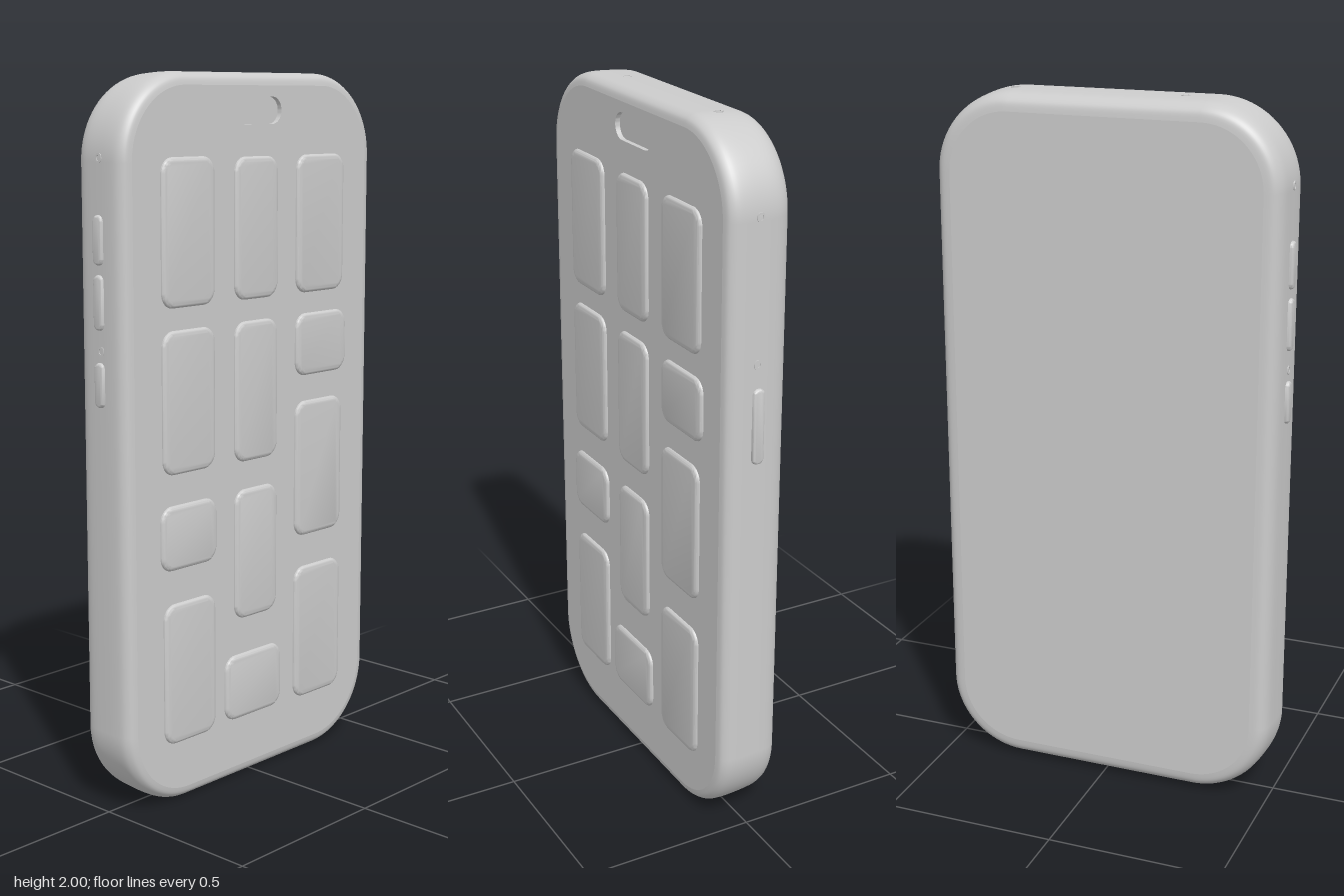
import * as THREE from 'three';
import { toCreasedNormals } from 'three/addons/utils/BufferGeometryUtils.js';

const material = new THREE.MeshStandardMaterial({ color: 0xcccccc });
const HALF_W = 0.505, HALF_H = 1, CORNER = 0.23, BACK = -0.1, FRONT = 0.088, RECESS = 0.015;

// Points of a rounded rectangle, counter-clockwise
function roundedRect(cx, cy, w, h, r, n = 8) {
  const pts = [];
  [[1, 1], [-1, 1], [-1, -1], [1, -1]].forEach(([sx, sy], q) => {
    for (let k = 0; k <= n; k++) {
      const a = (q + k / n) * Math.PI / 2;
      pts.push(new THREE.Vector2(
        cx + sx * (w / 2 - r) + r * Math.cos(a),
        cy + sy * (h / 2 - r) + r * Math.sin(a)));
    }
  });
  return pts;
}

function outline(inset) {
  return roundedRect(0, 1, 2 * (HALF_W - inset), 2 * (HALF_H - inset), CORNER - inset, 20);
}

function add(parent, name, geometry) {
  const mesh = new THREE.Mesh(geometry, material);
  mesh.name = name;
  parent.add(mesh);
  return mesh;
}

// Softly bevelled pad standing on z = 0
function pad(cx, cy, w, h, r, height, bevel) {
  const shape = new THREE.Shape(roundedRect(cx, cy, w - 2 * bevel, h - 2 * bevel, r - bevel));
  const g = new THREE.ExtrudeGeometry(shape, {
    depth: 0.01, bevelThickness: height, bevelSize: bevel, bevelSegments: 4,
  });
  g.translate(0, 0, -0.01);
  return toCreasedNormals(g, 0.6);
}

// Thin raised lip around a small opening
function lip(w, h) {
  const r = Math.min(w, h) / 2;
  const shape = new THREE.Shape(roundedRect(0, 0, w, h, r, 5));
  shape.holes.push(new THREE.Path(roundedRect(0, 0, w * 0.6, h * 0.6, r * 0.6, 5)));
  return new THREE.ExtrudeGeometry(shape, { depth: 0.006, bevelEnabled: false }).translate(0, 0, -0.004);
}

// Rounded side wall lofted through inset outlines from back to front
function shellGeometry() {
  const profile = new THREE.SplineCurve([
    [BACK, 0.055], [-0.097, 0.036], [-0.09, 0.023], [-0.075, 0.012], [-0.05, 0.005], [0, 0.001],
    [0.035, 0], [0.06, 0.002], [0.075, 0.009], [0.084, 0.019], [FRONT, 0.035],
  ].map(([z, inset]) => new THREE.Vector2(z, inset))).getPoints(30);
  const pos = [], index = [];
  const n = outline(0).length;
  profile.forEach((p, j) => {
    outline(p.y).forEach((v, i) => {
      pos.push(v.x, v.y, p.x);
      if (j === profile.length - 1) return;
      const a = j * n + i, b = j * n + (i + 1) % n;
      index.push(a, b, b + n, a, b + n, a + n);
    });
  });
  const g = new THREE.BufferGeometry();
  g.setAttribute('position', new THREE.Float32BufferAttribute(pos, 3));
  g.setIndex(index);
  g.computeVertexNormals();
  return g;
}

export function createModel() {
  const model = new THREE.Group();
  model.name = 'phone';

  // Body: side wall, back panel, front panel with a recessed pill
  add(model, 'sideWall', shellGeometry());
  add(model, 'backPanel', new THREE.ShapeGeometry(new THREE.Shape(outline(0.055)))
    .rotateY(Math.PI).translate(0, 0, BACK));
  const face = new THREE.Shape(outline(0.035));
  const pill = roundedRect(0, 1.898, 0.205, 0.074, 0.037, 10);
  face.holes.push(new THREE.Path(pill));
  add(model, 'frontPanel', toCreasedNormals(
    new THREE.ExtrudeGeometry(face, { depth: RECESS, bevelEnabled: false }), 0.6))
    .position.z = FRONT - RECESS;
  add(model, 'cameraRecess', new THREE.ShapeGeometry(new THREE.Shape(pill)))
    .position.z = FRONT - RECESS + 0.001;

  // Raised screen tiles: left, right, bottom, top
  const tiles = new THREE.Group();
  tiles.name = 'screenTiles';
  tiles.position.z = FRONT;
  model.add(tiles);
  [
    [-0.37, -0.17, 1.385, 1.78], [-0.37, -0.17, 0.935, 1.325],
    [-0.38, -0.165, 0.67, 0.85], [-0.37, -0.17, 0.175, 0.575],
    [-0.09, 0.085, 1.385, 1.775], [-0.09, 0.085, 0.93, 1.325],
    [-0.09, 0.085, 0.475, 0.85], [-0.13, 0.105, 0.18, 0.37],
    [0.165, 0.37, 1.385, 1.775], [0.165, 0.385, 1.145, 1.325],
    [0.165, 0.37, 0.67, 1.07], [0.165, 0.37, 0.175, 0.575],
  ].forEach(([l, r, b, t]) =>
    add(tiles, 'tile', pad((l + r) / 2, (b + t) / 2, r - l, t - b, 0.042, 0.01, 0.014)));

  // Side buttons and pinholes
  for (const [name, side, buttons, holes] of [
    ['leftSide', 1, [[1.12, 1.33]], [1.78, 1.395]],
    ['rightSide', -1, [[1.505, 1.635], [1.335, 1.48], [1.13, 1.25]], [1.78, 1.28]],
  ]) {
    const group = new THREE.Group();
    group.name = name;
    group.position.x = side * (HALF_W - 0.001);
    group.rotation.y = side * Math.PI / 2;
    model.add(group);
    for (const [b, t] of buttons)
      add(group, 'button', pad(side * 0.004, (b + t) / 2, 0.036, t - b, 0.017, 0.009, 0.007));
    for (const y of holes) add(group, 'pinhole', lip(0.022, 0.026)).position.y = y;
  }

  // Pinholes on the top edge
  for (const x of [-0.2, 0.29])
    add(model, 'topPinhole', lip(0.026, 0.026).rotateX(-Math.PI / 2)).position.set(x, 1.998, 0);

  // Charging port and speaker holes on the bottom edge
  add(model, 'chargingPort', lip(0.11, 0.034).rotateX(Math.PI / 2)).position.set(0, 0.002, 0);
  for (const side of [-1, 1])
    for (const x of [0.12, 0.165, 0.21])
      add(model, 'speakerHole', lip(0.024, 0.024).rotateX(Math.PI / 2)).position.set(side * x, 0.002, 0);

  return model;
}
